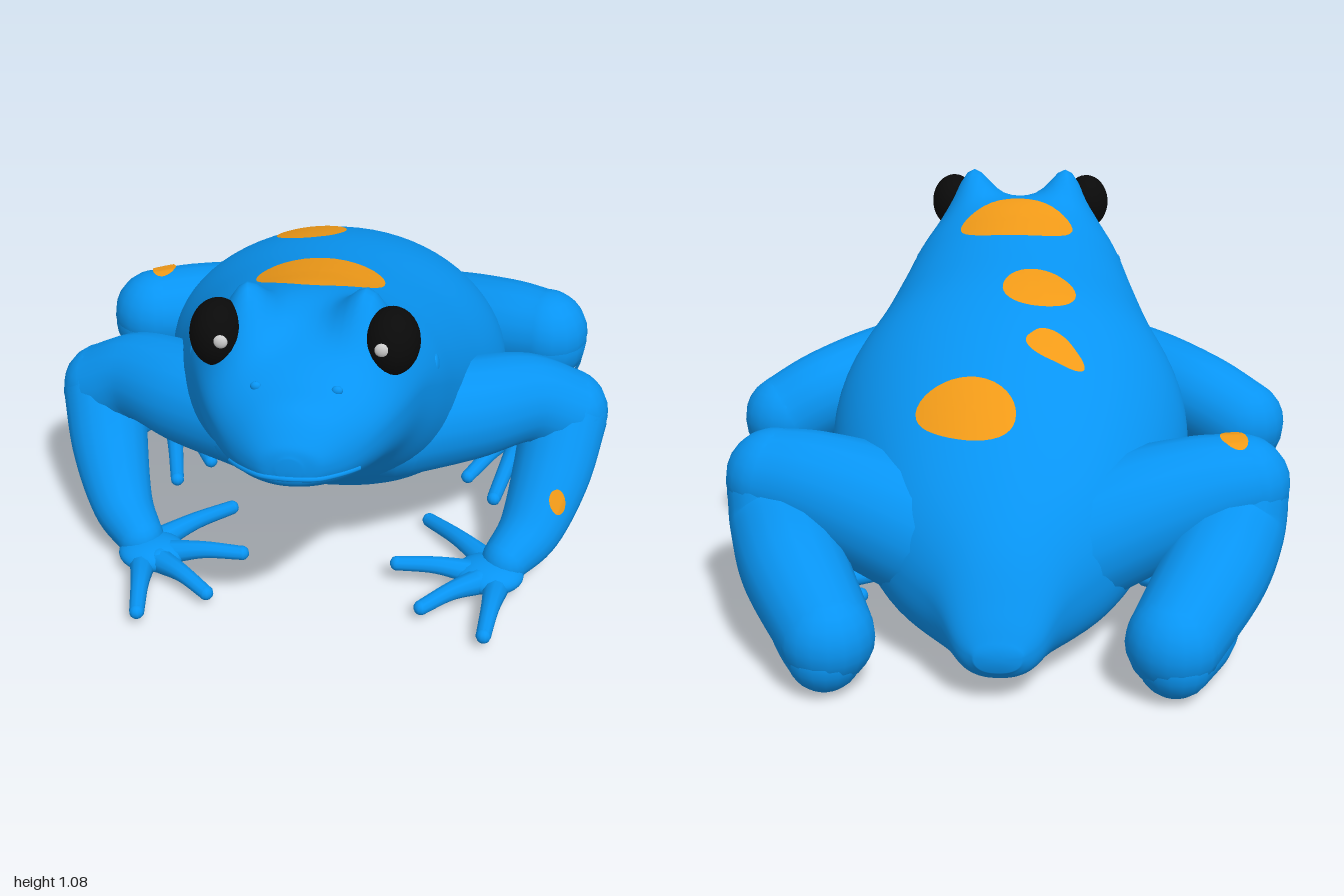
import * as THREE from 'three';
import { mergeGeometries } from 'three/addons/utils/BufferGeometryUtils.js';

const V = (x, y, z) => new THREE.Vector3(x, y, z);
const mat = (color) => new THREE.MeshStandardMaterial({ color });
const spline = (pts) => new THREE.CatmullRomCurve3(pts, false, 'catmullrom', 0.5);

// Torso and head: cross-sections [z, half width, top, widest height, bottom]
const SECTIONS = [
  [1.0, 0.03, 0.805, 0.775, 0.75], [0.985, 0.085, 0.84, 0.78, 0.72], [0.93, 0.15, 0.9, 0.78, 0.685],
  [0.85, 0.21, 0.93, 0.8, 0.645], [0.75, 0.26, 0.965, 0.81, 0.6], [0.62, 0.305, 1.0, 0.8, 0.52],
  [0.5, 0.345, 1.01, 0.74, 0.42], [0.35, 0.385, 0.98, 0.66, 0.31], [0.15, 0.445, 0.94, 0.55, 0.165],
  [-0.1, 0.515, 0.89, 0.46, 0.08], [-0.3, 0.5, 0.82, 0.4, 0.045], [-0.5, 0.43, 0.715, 0.36, 0.04],
  [-0.7, 0.33, 0.56, 0.3, 0.045], [-0.85, 0.18, 0.405, 0.24, 0.06], [-0.94, 0.11, 0.26, 0.17, 0.075],
  [-0.98, 0.06, 0.18, 0.15, 0.11],
];

function bodyGeometry() {
  const upper = spline(SECTIONS.map(([z, w, t]) => V(w, t, z)));
  const lower = spline(SECTIONS.map(([z, , , m, b]) => V(m, b, z)));
  const rings = 120, sides = 72, pos = [], idx = [];
  for (let i = 0; i <= rings; i++) {
    const a = upper.getPoint(i / rings), b = lower.getPoint(i / rings);
    for (let j = 0; j < sides; j++) {
      const th = (j / sides) * Math.PI * 2, c = Math.cos(th), s = Math.sin(th);
      const p = s < 0 ? 0.84 : 1; // fuller belly
      const h = s < 0 ? b.x - b.y : a.y - b.x;
      const x = a.x * Math.sign(c) * Math.abs(c) ** p;
      // Brows swell above the eyes
      const brow = Math.max(s, 0) * 0.14 * Math.exp(-(((Math.abs(x) - 0.165) / 0.075) ** 2) - ((a.z - 0.645) / 0.095) ** 2);
      pos.push(x, b.x + h * Math.sign(s) * Math.abs(s) ** p + brow, a.z);
    }
  }
  for (let i = 0; i < rings; i++) {
    for (let j = 0; j < sides; j++) {
      const a = i * sides + j, b = i * sides + (j + 1) % sides;
      idx.push(a, a + sides, b, b, a + sides, b + sides);
    }
  }
  // Close the nose and the tail end
  [0, rings].forEach((r) => {
    const c = pos.length / 3, m = lower.getPoint(r / rings);
    pos.push(0, m.x, m.z + (r ? -0.01 : 0.002));
    for (let j = 0; j < sides; j++) {
      const a = r * sides + j, b = r * sides + (j + 1) % sides;
      idx.push(...(r ? [c, b, a] : [c, a, b]));
    }
  });
  const g = new THREE.BufferGeometry();
  g.setAttribute('position', new THREE.Float32BufferAttribute(pos, 3));
  g.setIndex(idx);
  g.computeVertexNormals();
  return g;
}

// Tapered tube with round ends through [x, y, z, radius]; side mirrors x
function limbGeometry(pts, side, seg = 24, sides = 18) {
  const curve = spline(pts.map(([x, y, z]) => V(x * side, y, z)));
  const radii = spline(pts.map(([, , , r], i) => V(r, i, 0)));
  const g = new THREE.TubeGeometry(curve, seg, 1, sides);
  const p = g.attributes.position, v = V(0, 0, 0);
  for (let i = 0; i <= seg; i++) {
    const c = curve.getPointAt(i / seg), r = radii.getPoint(curve.getUtoTmapping(i / seg)).x;
    for (let j = 0; j <= sides; j++) {
      const k = i * (sides + 1) + j;
      v.fromBufferAttribute(p, k).sub(c).multiplyScalar(r).add(c);
      p.setXYZ(k, v.x, v.y, v.z);
    }
  }
  const ends = [pts[0], pts[pts.length - 1]].map(([x, y, z, r]) =>
    new THREE.SphereGeometry(r, sides, 12).translate(x * side, y, z));
  return mergeGeometries([g, ...ends]);
}

// Digit tapering from a broad root to a rounded tip, arched slightly
function digit(root, tip, r) {
  const mid = root.map((v, i) => (v + tip[i]) / 2);
  return [[...root, r * 1.6], [mid[0], mid[1] + 0.01, mid[2], r * 1.1], [...tip, r * 0.9]];
}

export function createModel() {
  const frog = new THREE.Group();
  frog.name = 'frog';
  const blue = mat(0x0894f2), orange = mat(0xf09a18), black = mat(0x0a0a0a), pale = mat(0xcccccc);
  const add = (name, geometry, material = blue, parent = frog) => {
    const m = new THREE.Mesh(geometry, material);
    m.name = name;
    parent.add(m);
    return m;
  };
  const ellipsoid = (c, r) => new THREE.SphereGeometry(1, 28, 20).scale(...r).translate(...c);
  const body = add('body', bodyGeometry());

  const ray = new THREE.Raycaster();
  const hit = (mesh, from, dir) => {
    ray.set(from, dir);
    return ray.intersectObject(mesh)[0]?.point;
  };

  // Colour patch draped on a mesh, cast from above or from the front
  function spot(name, mesh, [cx, cy], [rx, ry], turn = 0, front = false, wobble = 0.03) {
    const g = new THREE.RingGeometry(0.001, 1, 36, 7), p = g.attributes.position;
    const dir = front ? V(0, 0, -1) : V(0, -1, 0);
    const start = (x, y) => (front ? V(x, y, 2) : V(x, 2, -y));
    const centre = hit(mesh, start(cx, cy), dir);
    for (let i = 0; i < p.count; i++) {
      const a = Math.atan2(p.getY(i), p.getX(i)), w = 1 + wobble * Math.sin(3 * a + cx * 9);
      const u = p.getX(i) * rx * w, v = p.getY(i) * ry * w;
      const s = start(cx + u * Math.cos(turn) - v * Math.sin(turn), cy + u * Math.sin(turn) + v * Math.cos(turn));
      const q = (hit(mesh, s, dir) ?? s.setComponent(front ? 2 : 1, centre.getComponent(front ? 2 : 1)))
        .addScaledVector(dir, -0.008);
      p.setXYZ(i, q.x, q.y, q.z);
    }
    g.computeVertexNormals();
    add(name, g, orange);
  }
  spot('neckSpot', body, [0, -0.35], [0.175, 0.14]);
  spot('middleSpot', body, [-0.08, 0.12], [0.105, 0.1]);
  spot('smallSpot', body, [-0.13, 0.37], [0.085, 0.05], -0.5, false, 0.1);
  spot('rumpSpot', body, [0.1, 0.56], [0.14, 0.08], -0.3);

  // Mouth line wrapped around the snout
  const lips = [];
  for (let i = -8; i <= 8; i++) {
    const a = i / 8, d = V(Math.sin(a), 0, Math.cos(a));
    const q = hit(body, V(d.x * 2, 0.75 - 0.02 * a * a, 0.8 + d.z * 2), d.clone().negate());
    if (q) lips.push(q);
  }
  add('mouth', new THREE.TubeGeometry(spline(lips), 60, 0.007, 8));

  for (const s of [1, -1]) {
    const side = new THREE.Group();
    side.name = s > 0 ? 'leftSide' : 'rightSide';
    frog.add(side);
    const limb = (name, pts, seg, sides) => add(name, limbGeometry(pts, s, seg, sides), blue, side);

    // Eye and face details
    add('eye', ellipsoid([s * 0.22, 0.97, 0.685], [0.072, 0.088, 0.085]), black, side);
    add('eyeGlint', ellipsoid([s * 0.2, 0.985, 0.764], [0.018, 0.018, 0.01]), pale, side);
    const n = hit(body, V(s * 0.1, 0.915, 2), V(0, 0, -1));
    add('nostril', ellipsoid([n.x, n.y, n.z], [0.014, 0.012, 0.01]), blue, side);
    add('eardrum', ellipsoid([s * 0.32, 0.8, 0.5], [0.015, 0.035, 0.035]), blue, side);

    // Front leg
    limb('upperArm', [[0.2, 0.52, 0.33, 0.165], [0.4, 0.51, 0.23, 0.152], [0.57, 0.485, 0.11, 0.133], [0.7, 0.42, 0.06, 0.127]]);
    const forearm = limb('forearm', [[0.7, 0.41, 0.065, 0.127], [0.668, 0.27, 0.175, 0.115], [0.615, 0.145, 0.285, 0.093], [0.545, 0.085, 0.37, 0.07]]);
    add('palm', ellipsoid([s * 0.5, 0.06, 0.41], [0.1, 0.045, 0.085]), blue, side);
    [
      [[0.46, 0.06, 0.41], [0.23, 0.075, 0.41]],
      [[0.47, 0.06, 0.45], [0.31, 0.045, 0.57]],
      [[0.52, 0.05, 0.46], [0.49, 0.045, 0.675]],
      [[0.5, 0.06, 0.36], [0.31, 0.03, 0.12]],
    ].forEach(([a, b]) => limb('finger', digit(a, b, 0.024), 12, 10));
    if (s > 0) spot('forearmSpot', forearm, [0.685, 0.26], [0.022, 0.036], 0.35, true);

    // Hind leg folded beside the body
    const thigh = limb('thigh', [[0.14, 0.3, -0.62, 0.19], [0.34, 0.365, -0.55, 0.178], [0.52, 0.405, -0.485, 0.155], [0.645, 0.415, -0.44, 0.138]]);
    limb('shank', [[0.645, 0.385, -0.44, 0.137], [0.62, 0.3, -0.5, 0.145], [0.555, 0.245, -0.68, 0.143], [0.445, 0.15, -0.872, 0.125]]);
    limb('foot', [[0.45, 0.11, -0.89, 0.1], [0.54, 0.085, -0.72, 0.08], [0.59, 0.065, -0.55, 0.06], [0.6, 0.055, -0.38, 0.05]]);
    [
      [[0.58, 0.055, -0.5], [0.42, 0.045, -0.42]],
      [[0.57, 0.055, -0.44], [0.4, 0.04, -0.27]],
      [[0.58, 0.055, -0.4], [0.42, 0.04, -0.12]],
      [[0.59, 0.055, -0.36], [0.505, 0.05, 0.01]],
      [[0.62, 0.055, -0.4], [0.735, 0.05, -0.15]],
    ].forEach(([a, b]) => limb('toe', digit(a, b, 0.024), 12, 10));
    if (s < 0) spot('kneeSpot', thigh, [-0.62, 0.47], [0.038, 0.052]);
  }
  return frog;
}
